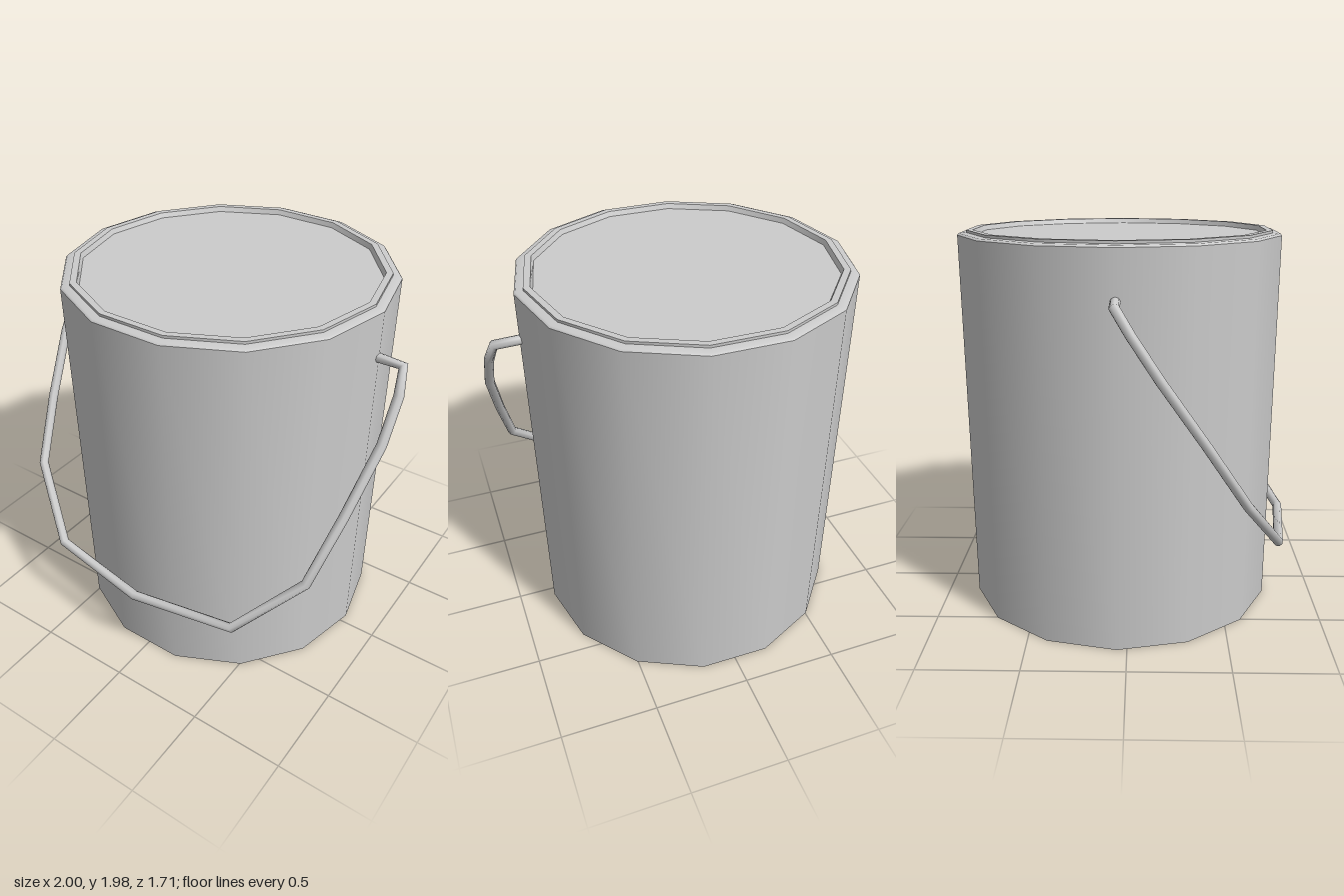
import * as THREE from 'three';

const SIDES = 14;
const CENTER_Z = -0.05;

// Polyline whose parameter steps evenly from corner to corner, with mitred corners
class WirePath extends THREE.Curve {
  constructor(points) {
    super();
    this.points = points;
  }
  getUtoTmapping(u) {
    return u;
  }
  getPoint(t, target = new THREE.Vector3()) {
    const last = this.points.length - 1;
    const i = Math.min(Math.floor(t * last + 1e-6), last - 1);
    return target.lerpVectors(this.points[i], this.points[i + 1], t * last - i);
  }
  getTangent(t, target = new THREE.Vector3()) {
    const p = this.points, last = p.length - 1;
    const i = Math.round(t * last);
    target.set(0, 0, 0);
    if (i > 0) target.add(p[i].clone().sub(p[i - 1]).normalize());
    if (i < last) target.add(p[i + 1].clone().sub(p[i]).normalize());
    return target.normalize();
  }
}

export function createModel() {
  const group = new THREE.Group();
  group.name = 'paintBucket';
  const material = new THREE.MeshStandardMaterial({ color: 0xcccccc, side: THREE.DoubleSide });

  function add(name, geometry) {
    const mesh = new THREE.Mesh(geometry, material);
    mesh.name = name;
    group.add(mesh);
    return mesh;
  }

  // Fourteen-sided turned part, with a corner on the x axis
  function turned(name, profile) {
    const points = profile.map(([r, y]) => new THREE.Vector2(r, y));
    add(name, new THREE.LatheGeometry(points, SIDES, Math.PI / 2)).position.z = CENTER_Z;
  }

  // Slightly flaring can and its base
  turned('base', [[0, 0.005], [0.81, 0.005]]);
  turned('wall', [[0.81, 0.005], [0.83, 1.955]]);

  // Rolled rim, raised lid ring and sunken lid panel
  turned('rim', [[0.83, 1.955], [0.822, 1.965], [0.785, 1.967]]);
  turned('lidRingOuter', [[0.785, 1.967], [0.785, 1.98]]);
  turned('lidRingTop', [[0.785, 1.98], [0.752, 1.98]]);
  turned('lidRingInner', [[0.752, 1.98], [0.742, 1.955]]);
  turned('lid', [[0.742, 1.955], [0, 1.955]]);

  // Wire handle hanging forward, mirrored about its middle point
  const half = [
    [0.8, 1.72, -0.05], [0.95, 1.715, -0.05], [0.975, 1.6, 0.02], [0.975, 1.4, 0.15],
    [0.92, 1.09, 0.36], [0.85, 0.78, 0.56], [0.555, 0.475, 0.755],
  ].map((p) => new THREE.Vector3(...p));
  const mirrored = half.map((p) => new THREE.Vector3(-p.x, p.y, p.z)).reverse();
  const path = new WirePath([...half, new THREE.Vector3(0, 0.445, 0.83), ...mirrored]);
  add('handle', new THREE.TubeGeometry(path, path.points.length - 1, 0.025, 8));

  return group;
}
